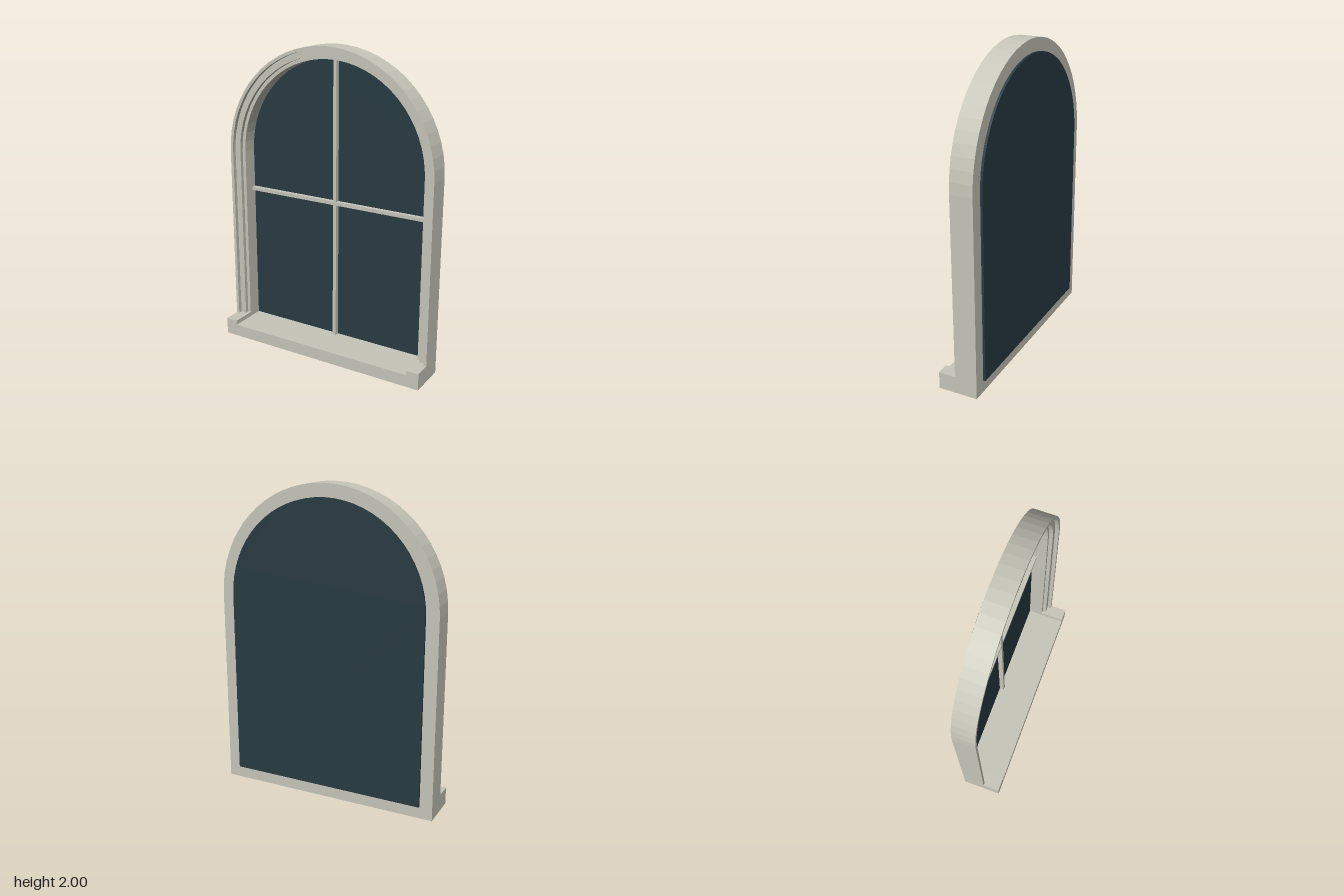
import * as THREE from 'three';

const OUTER = 0.727, INNER = 0.645;    // half widths of frame and opening
const SPRING = 1.273;                  // height where the arch begins
const BACK = -0.12, FRONT = 0.025, SILL_FRONT = 0.135;
const SILL_Y = 0.08, BLOCK_Y = 0.11;
const SEGMENTS = 32;

const stone = new THREE.MeshStandardMaterial({ color: 0xc6c6ba, flatShading: true });
const glass = new THREE.MeshStandardMaterial({ color: 0x283b43, flatShading: true });

// Arch-topped outline of half width r, from bottom right over to bottom left
function archPath(r, bottom) {
  const pts = [[r, bottom]];
  for (let i = 0; i <= SEGMENTS; i++) {
    const a = (Math.PI * i) / SEGMENTS;
    pts.push([r * Math.cos(a), SPRING + r * Math.sin(a)]);
  }
  pts.push([-r, bottom]);
  return pts;
}

// Sweep a closed [halfWidth, z] profile along the arch
function sweepArch(profile, bottom) {
  const pos = [], index = [], n = profile.length;
  const rails = profile.map(([r]) => archPath(r, bottom));
  const steps = rails[0].length;
  for (let i = 0; i < steps; i++) {
    profile.forEach(([, z], j) => pos.push(...rails[j][i], z));
  }
  for (let i = 0; i < steps - 1; i++) {
    for (let j = 0; j < n; j++) {
      const k = (j + 1) % n;
      const a = i * n + j, b = (i + 1) * n + j, c = (i + 1) * n + k, d = i * n + k;
      index.push(a, b, c, a, c, d);
    }
  }
  const indexed = new THREE.BufferGeometry();
  indexed.setAttribute('position', new THREE.Float32BufferAttribute(pos, 3));
  indexed.setIndex(index);
  const geo = indexed.toNonIndexed();
  geo.computeVertexNormals();
  return geo;
}

// Extrude a flat outline between two depths
function slab(points, z0, z1) {
  const shape = new THREE.Shape(points.map(([x, y]) => new THREE.Vector2(x, y)));
  const geo = new THREE.ExtrudeGeometry(shape, { depth: z1 - z0, bevelEnabled: false });
  return geo.translate(0, 0, z0);
}

function box(w, h, d, x, y, z) {
  return new THREE.BoxGeometry(w, h, d).translate(x, y, z);
}

export function createModel() {
  const group = new THREE.Group();
  group.name = 'archedWindow';
  const add = (name, geo, mat) => {
    const mesh = new THREE.Mesh(geo, mat);
    mesh.name = name;
    group.add(mesh);
  };

  // Frame with two steps down towards the opening
  add('archedFrame', sweepArch([
    [OUTER, BACK], [OUTER, FRONT], [0.707, FRONT], [0.707, 0],
    [0.667, 0], [0.667, -0.025], [INNER, -0.025], [INNER, BACK],
  ], BLOCK_Y), stone);

  // Sill with a raised block under each jamb
  add('sill', slab([
    [-OUTER, 0], [OUTER, 0], [OUTER, BLOCK_Y], [INNER, BLOCK_Y],
    [INNER, SILL_Y], [-INNER, SILL_Y], [-INNER, BLOCK_Y], [-OUTER, BLOCK_Y],
  ], BACK, SILL_FRONT), stone);

  // Pane set on the back of the opening
  add('glassPane', slab(archPath(INNER, SILL_Y), -0.135, BACK), glass);

  // Glazing bars in front of the pane
  const barDepth = 0.03, barZ = BACK + barDepth / 2;
  const top = SPRING + INNER;
  add('verticalBar', box(0.023, top - SILL_Y, barDepth, 0, (top + SILL_Y) / 2, barZ), stone);
  add('horizontalBar', box(INNER * 2, 0.023, barDepth, 0, 1.003, barZ), stone);

  return group;
}
